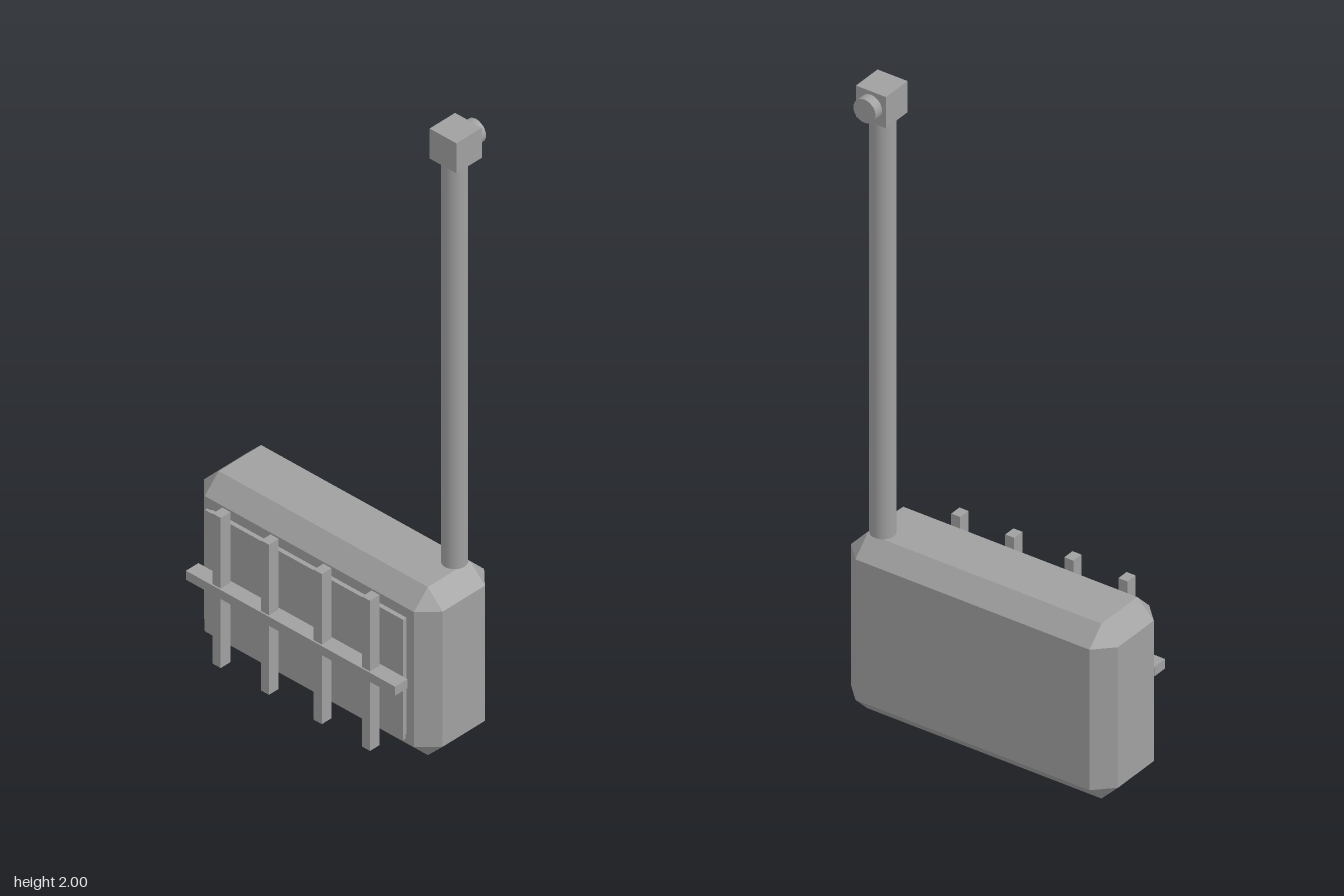
import * as THREE from 'three';
import { ConvexGeometry } from 'three/addons/geometries/ConvexGeometry.js';

export function createModel() {
  const model = new THREE.Group();
  model.name = 'wallHeater';
  const grey = new THREE.MeshStandardMaterial({ color: 0xa0a0a0 });
  grey.name = 'grey metal';

  const add = (name, geometry, x, y, z) => {
    const mesh = new THREE.Mesh(geometry, grey);
    mesh.name = name;
    mesh.position.set(x, y, z);
    model.add(mesh);
    return mesh;
  };
  // box given by its lower and upper limits
  const box = (name, [x0, x1], [y0, y1], [z0, z1]) =>
    add(name, new THREE.BoxGeometry(x1 - x0, y1 - y0, z1 - z0),
      (x0 + x1) / 2, (y0 + y1) / 2, (z0 + z1) / 2);

  // box with every edge and corner cut off
  const chamferedBox = (w, h, d, c) => {
    const points = [];
    for (const sx of [-1, 1]) for (const sy of [-1, 1]) for (const sz of [-1, 1]) {
      const x = w / 2, y = h / 2, z = d / 2;
      points.push(
        new THREE.Vector3(sx * x, sy * (y - c), sz * (z - c)),
        new THREE.Vector3(sx * (x - c), sy * y, sz * (z - c)),
        new THREE.Vector3(sx * (x - c), sy * (y - c), sz * z));
    }
    return new ConvexGeometry(points);
  };
  add('body', chamferedBox(0.89, 0.56, 0.276, 0.055), 0, 0.28, -0.038);

  // stepped front panel
  box('panelBase', [-0.363, 0.363], [0.087, 0.473], [0.095, 0.111]);
  box('panelFace', [-0.37, 0.37], [0.08, 0.48], [0.111, 0.121]);

  // guard in front of the panel
  box('guardRail', [-0.39, 0.39], [0.265, 0.295], [0.125, 0.174]);
  for (const x of [-0.28, -0.1, 0.097, 0.277]) {
    box('guardBar', [x - 0.015, x + 0.015], [0.03, 0.53], [0.131, 0.169]);
  }

  // flue pipe, its head and the outlet at the back
  add('fluePipe', new THREE.CylinderGeometry(0.037, 0.037, 1.34, 24), 0.36, 1.23, -0.091);
  box('flueHead', [0.31, 0.41], [1.9, 2], [-0.146, -0.046]);
  add('flueOutlet', new THREE.CylinderGeometry(0.037, 0.037, 0.04, 24), 0.36, 1.952, -0.156)
    .rotation.x = Math.PI / 2;

  return model;
}
